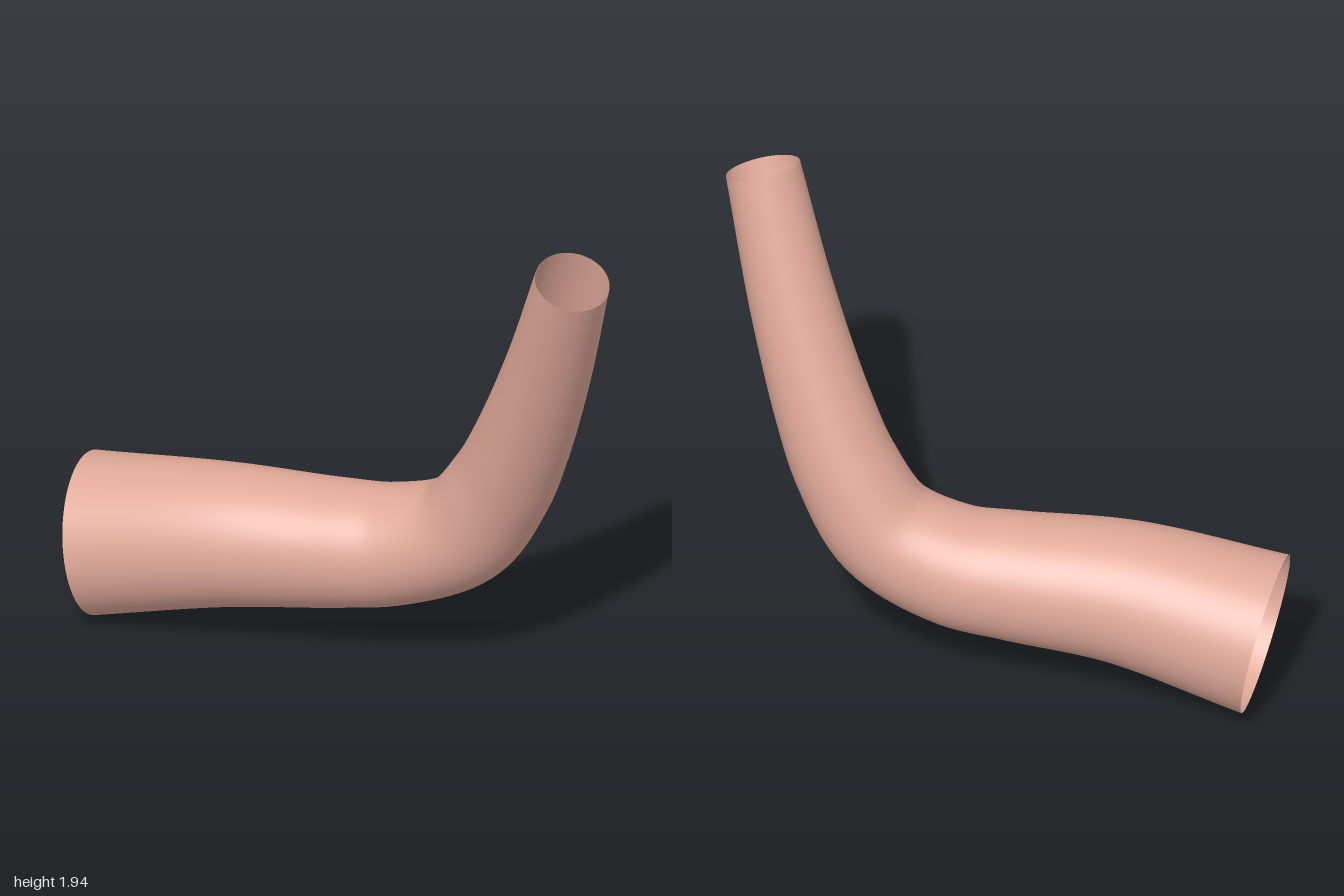
import * as THREE from 'three';

const SEGMENTS = 96, SIDES = 64;

// Radius along the tube, u = 0 at the wide end, 1 at the narrow end
const radiusAt = (u) => 0.305 - 0.21 * u + 0.045 * u * u;

export function createModel() {
  const group = new THREE.Group();
  group.name = 'bentTube';

  // Centre line: low horizontal run, bend, rising run
  const path = new THREE.CatmullRomCurve3([
    [-0.89, 0.297, -0.40],
    [-0.40, 0.392, -0.213],
    [0.0, 0.42, -0.10],
    [0.22, 0.447, -0.04],
    [0.46, 0.56, 0.055],
    [0.595, 0.785, 0.14],
    [0.67, 1.0, 0.22],
    [0.77, 1.4, 0.37],
    [0.86, 1.88, 0.55],
  ].map((p) => new THREE.Vector3(...p)));

  // Unit-radius tube, each ring scaled about the centre line to taper it
  const geometry = new THREE.TubeGeometry(path, SEGMENTS, 1, SIDES, false);
  const pos = geometry.attributes.position;
  const v = new THREE.Vector3();
  for (let i = 0; i <= SEGMENTS; i++) {
    const u = i / SEGMENTS;
    const centre = path.getPointAt(u);
    for (let j = 0; j <= SIDES; j++) {
      const k = i * (SIDES + 1) + j;
      v.fromBufferAttribute(pos, k).sub(centre).multiplyScalar(radiusAt(u)).add(centre);
      pos.setXYZ(k, v.x, v.y, v.z);
    }
  }

  // Centre it and stand it on the ground
  geometry.computeBoundingBox();
  const { min, max } = geometry.boundingBox;
  geometry.translate(-(min.x + max.x) / 2, -min.y, -(min.z + max.z) / 2);
  geometry.computeBoundingSphere();

  const material = new THREE.MeshStandardMaterial({ color: 0xe0a899, side: THREE.DoubleSide });
  const tube = new THREE.Mesh(geometry, material);
  tube.name = 'taperedTube';
  group.add(tube);
  return group;
}
